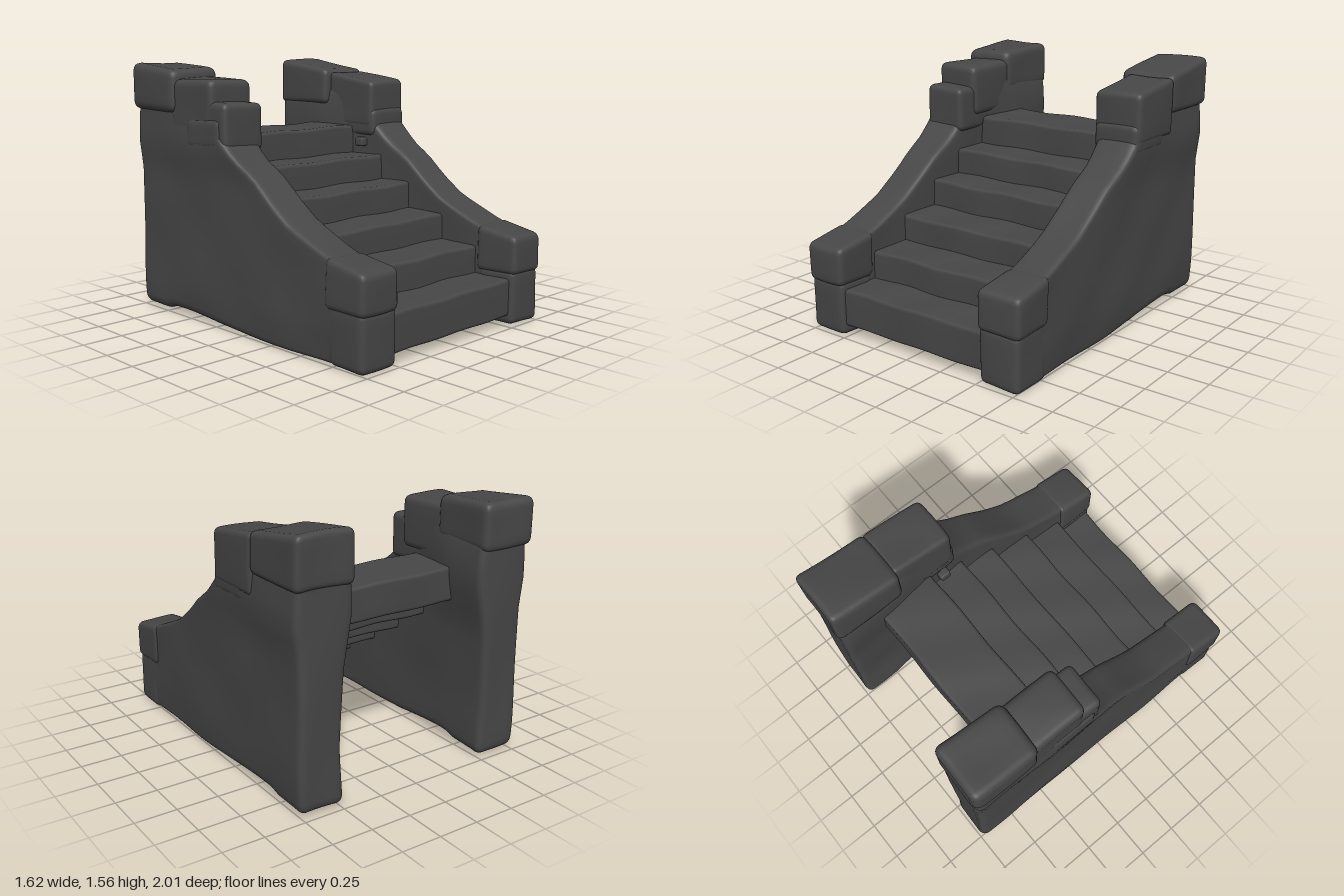
import * as THREE from 'three';
import { mergeVertices } from 'three/addons/utils/BufferGeometryUtils.js';

const stoneMat = new THREE.MeshStandardMaterial({ color: 0x474747 });
stoneMat.name = 'dark stone';

// linear interpolation through [position, value] pairs in ascending order
function along(pairs, t) {
  if (t <= pairs[0][0]) return pairs[0][1];
  for (let i = 1; i < pairs.length; i++) {
    const [a, va] = pairs[i - 1], [b, vb] = pairs[i];
    if (t <= b) return va + (vb - va) * (t - a) / (b - a);
  }
  return pairs[pairs.length - 1][1];
}

// grid positions on one axis, packed closer in the rounded borders
function ticks(a, b, r, n) {
  const out = [a, a + r * 0.2, a + r * 0.55];
  for (let i = 0; i <= n; i++) out.push(a + r + (b - a - 2 * r) * i / n);
  return out.concat([b - r * 0.55, b - r * 0.2, b]);
}

// rounded, slightly worn block; x, y, z are [min, max]; warp(p) bends it further
function stone(name, x, y, z, r, warp, step = 0.07) {
  const lim = [x, y, z];
  const grid = lim.map(([a, b]) => ticks(a, b, r, Math.max(1, Math.round((b - a) / step))));
  const n = grid.map(g => g.length - 1);
  let geo = new THREE.BoxGeometry(1, 1, 1, n[0], n[1], n[2]);
  const pos = geo.attributes.position, p = new THREE.Vector3(), core = new THREE.Vector3();
  const lo = new THREE.Vector3(x[0] + r, y[0] + r, z[0] + r);
  const hi = new THREE.Vector3(x[1] - r, y[1] - r, z[1] - r);
  for (let i = 0; i < pos.count; i++) {
    p.fromBufferAttribute(pos, i);
    p.set(...p.toArray().map((v, k) => grid[k][Math.round((v + 0.5) * n[k])]));
    core.copy(p).clamp(lo, hi);
    p.sub(core);
    if (p.lengthSq() > 0) p.setLength(r);
    p.add(core);
    if (warp) warp(p);
    // gentle wear
    const { x: px, y: py, z: pz } = p;
    p.x += 0.005 * Math.sin(9 * py + 2 * pz) * Math.cos(8 * pz);
    p.y += 0.004 * Math.sin(13 * px + 7 * pz);
    p.z += 0.004 * Math.sin(11 * px + 5 * py);
    pos.setXYZ(i, p.x, p.y, p.z);
  }
  geo.deleteAttribute('uv');
  geo.deleteAttribute('normal');
  geo = mergeVertices(geo, 1e-5);
  geo.computeVertexNormals();
  const mesh = new THREE.Mesh(geo, stoneMat);
  mesh.name = name;
  return mesh;
}

// profiles of the side walls
const wallTop = [[-1, 1.42], [-0.45, 1.38], [-0.22, 1.24], [-0.1, 1.1], [0, 1.02], [0.12, 0.95],
  [0.28, 0.82], [0.42, 0.72], [0.6, 0.64], [0.72, 0.59], [1, 0.53]];
const wallBottom = [[-1, 0.02], [-0.72, 0.025], [-0.66, 0.05], [-0.5, 0.045], [-0.2, 0.02], [0.1, 0.01], [1, 0.01]];
const backInner = [[0, 0.48], [0.35, 0.5], [0.8, 0.48], [1.1, 0.43], [1.25, 0.435], [1.42, 0.47]];
const wallOuter = [[0, 0.765], [0.2, 0.775], [0.5, 0.77], [0.9, 0.77], [1.1, 0.795], [1.3, 0.775]];

function sideWall(side) {
  const wall = new THREE.Group();
  wall.name = side > 0 ? 'leftWall' : 'rightWall';
  const sx = ([a, b]) => side > 0 ? [a, b] : [-b, -a];
  const add = (name, x, y, z, r, warp) => wall.add(stone(name, sx(x), y, z, r, warp));

  // sloping body, thicker towards the back
  add('wallBody', [0, 0.28], [0, 1], [-0.985, 0.985], 0.045, p => {
    const t = p.y, w = Math.abs(p.x) / 0.28;
    p.y = along(wallBottom, p.z) * (1 - t) + along(wallTop, p.z) * t;
    const k = along([[-1, 1], [-0.65, 0.85], [-0.3, 0.2], [0, 0]], p.z);
    const inner = 0.52 + (along(backInner, p.y) - 0.52) * k;
    p.x = side * (inner + (along(wallOuter, p.y) - inner) * w);
  });

  // foot of the front post and its cap
  add('postFoot', [0.51, 0.775], [0.005, 0.34], [0.73, 0.99], 0.04);
  add('postCap', [0.505, 0.785], [0.31, 0.545], [0.71, 1], 0.04, p => {
    if (p.y > 0.42) p.y += (1 - p.z) * 0.17;
  });

  // worn ledge under the upper caps
  add('ledge', [0.49, 0.795], [1.07, 1.25], [-0.46, -0.14], 0.04);

  // upper caps
  if (side > 0) {
    add('frontCap', [0.485, 0.8], [1.13, 1.43], [-0.56, -0.155], 0.035, p => {
      if (p.y > 1.3) p.y -= (p.z + 0.155) * 0.13;
    });
    add('backCap', [0.435, 0.8], [1.26, 1.495], [-1, -0.54], 0.04, p => {
      if (p.y > 1.38) p.y -= (p.z + 0.54) * 0.15;
    });
    add('nub', [0.46, 0.54], [1.0, 1.06], [-0.28, -0.21], 0.015);
  } else {
    add('frontCap', [0.49, 0.78], [1.06, 1.345], [-0.36, -0.095], 0.04);
    add('middleCap', [0.475, 0.785], [1.15, 1.475], [-0.62, -0.22], 0.045);
    add('backCap', [0.44, 0.81], [1.27, 1.53], [-1, -0.56], 0.05, p => {
      if (p.y > 1.4) p.y -= (p.z + 0.56) * 0.07;
      if (p.x > -0.6) p.x -= (p.z + 1) * 0.05;
    });
  }
  return wall;
}

export function createModel() {
  const model = new THREE.Group();
  model.name = 'stoneStairs';
  model.add(sideWall(1), sideWall(-1));

  // step blocks, open underneath: [top, front, back, bottom]
  const steps = [
    [0.29, 0.96, 0.62, 0.06], [0.46, 0.7, 0.36, 0.26], [0.62, 0.43, 0.09, 0.42],
    [0.79, 0.15, -0.16, 0.58], [0.95, -0.09, -0.42, 0.75], [1.13, -0.33, -0.71, 0.92],
  ];
  steps.forEach(([top, front, back, bottom], i) => {
    model.add(stone(i === 5 ? 'landing' : 'step' + (i + 1), [-0.56, 0.56], [bottom, top], [back, front], 0.022));
  });
  return model;
}
